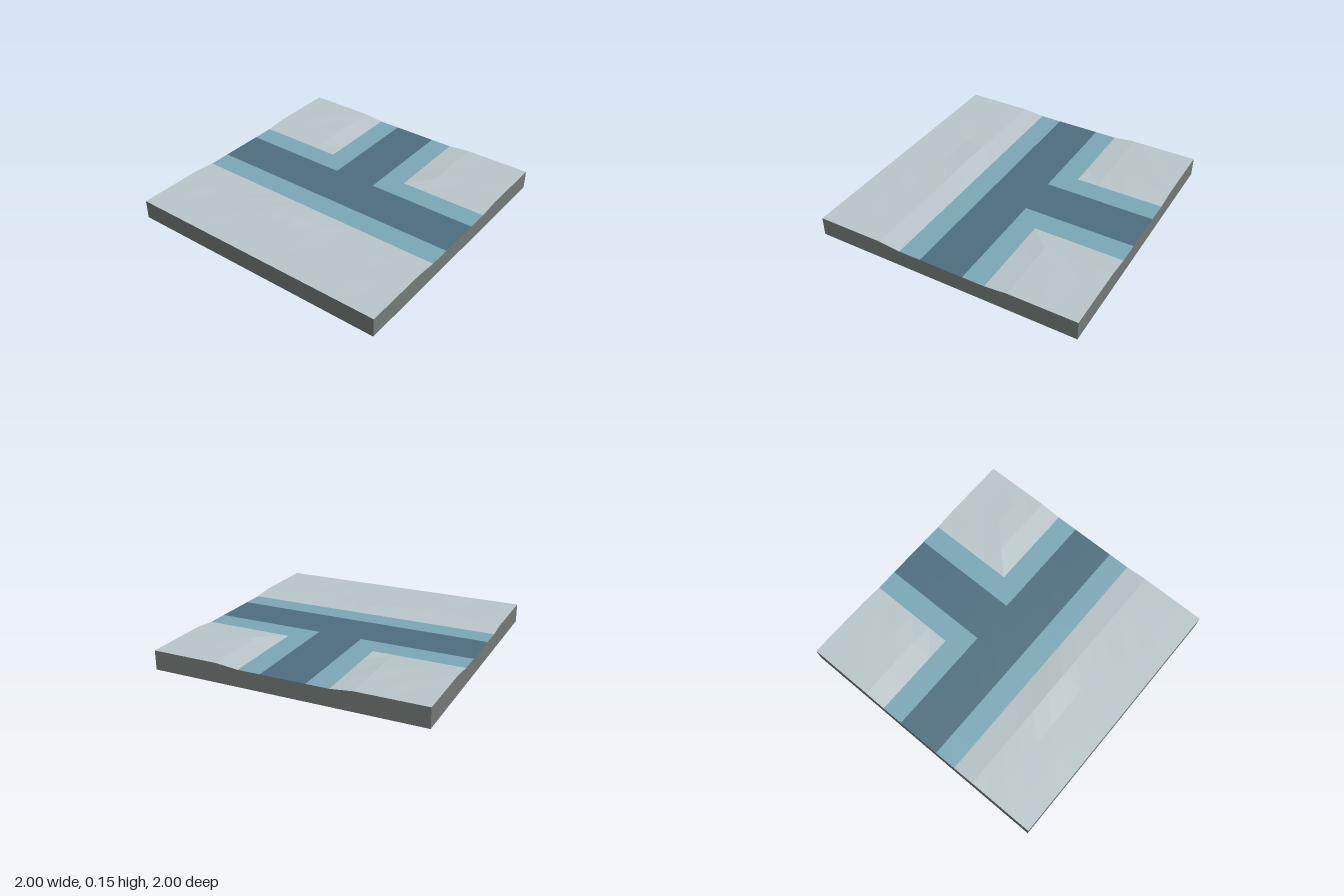
import * as THREE from 'three';

const N = 12, STEP = 2 / N, WATER = 0.125, LAND = 0.142;

const paint = (name, color) => {
  const m = new THREE.MeshStandardMaterial({ color });
  m.name = name;
  m.flatShading = true;
  return m;
};

// Raised spots of the land, as [column, row, extra height]
const BUMPS = [
  [4, 9, 0.007], [5, 9, 0.012], [6, 9, 0.009], [7, 9, 0.003], [3, 9, 0.001],
  [9, 3, 0.003], [8, 3, 0.001], [11, 2, 0.002], [10, 2, 0.002], [1, 2, 0.002],
  [2, 3, -0.002], [3, 2, 0.002], [3, 3, -0.003], [2, 1, 0.001], [9, 1, 0.001],
  [1, 10, 0.001], [3, 11, 0.001], [8, 10, -0.001], [10, 9, 0.001], [10, 11, 0.001],
];

// Distance bands round the T-shaped channel: a half-width of k cells
const inChannel = (x, z, k) =>
  Math.abs(z) <= k * STEP + 1e-6 || (z < 0 && Math.abs(x) <= k * STEP + 1e-6);

const at = (i) => -1 + i * STEP;

function height(i, j) {
  if (inChannel(at(i), at(j), 2)) return WATER;
  const bump = BUMPS.find(([c, r]) => c === i && r === j);
  return LAND + (bump ? bump[2] : 0);
}

const top = (i, j) => [at(i), height(i, j), at(j)];
const foot = (i, j) => [at(i), 0, at(j)];

// Two triangles from corners a, b, c, d in anticlockwise order, split along b-d
const quad = (out, a, b, c, d) => out.push(...a, ...b, ...d, ...b, ...c, ...d);

function meshFrom(name, points, material) {
  const g = new THREE.BufferGeometry();
  g.setAttribute('position', new THREE.Float32BufferAttribute(points, 3));
  g.computeVertexNormals();
  const mesh = new THREE.Mesh(g, material);
  mesh.name = name;
  return mesh;
}

export function createModel() {
  const group = new THREE.Group();
  group.name = 'riverJunctionTile';
  const land = [], shallows = [], deep = [], base = [];

  // Top surface, sorted cell by cell into land, shallow and deep water
  for (let j = 0; j < N; j++) {
    for (let i = 0; i < N; i++) {
      const x = at(i + 0.5), z = at(j + 0.5);
      const part = inChannel(x, z, 1) ? deep : inChannel(x, z, 2) ? shallows : land;
      quad(part, top(i, j), top(i, j + 1), top(i + 1, j + 1), top(i + 1, j));
    }
  }

  // Side walls that follow the edge of the surface
  for (let k = 0; k < N; k++) {
    const wall = (a, b) => quad(base, top(...a), foot(...a), foot(...b), top(...b));
    wall([k, N], [k + 1, N]);
    wall([k + 1, 0], [k, 0]);
    wall([N, k + 1], [N, k]);
    wall([0, k], [0, k + 1]);
  }
  // Underside
  quad(base, foot(0, 0), foot(N, 0), foot(N, N), foot(0, N));

  group.add(
    meshFrom('snowyLand', land, paint('pale snow', 0xbac6ca)),
    meshFrom('shallowWater', shallows, paint('shallow blue', 0x7ba7b6)),
    meshFrom('deepWater', deep, paint('deep blue', 0x4d6e7f)),
    meshFrom('stoneBase', base, paint('stone grey', 0x747a78)),
  );
  return group;
}
